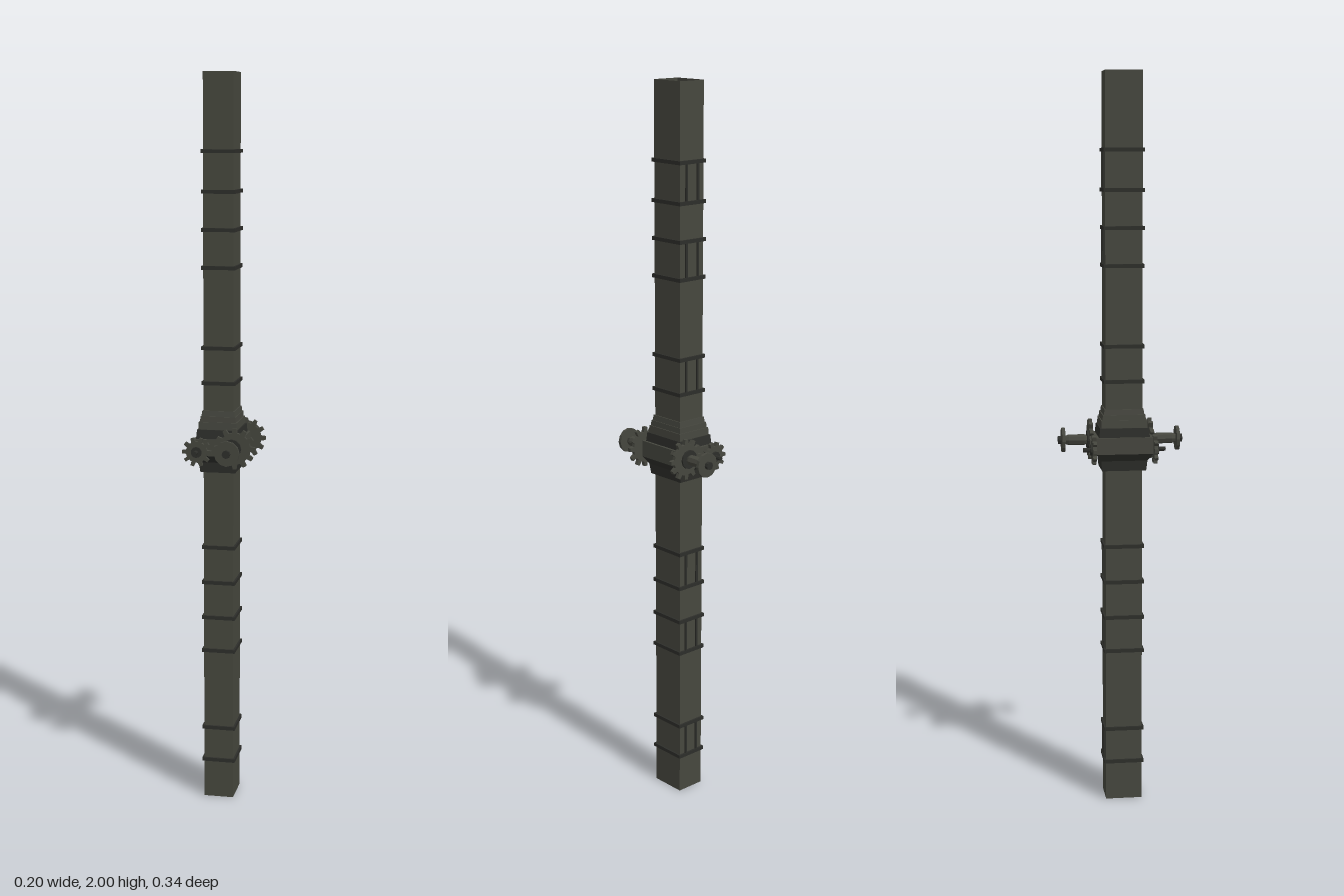
import * as THREE from 'three';

const CX = -0.007;          // centre line of the shaft
const HX = 0.041, HZ = 0.05; // half width and half depth of the shaft

export function createModel() {
  const model = new THREE.Group();
  const paint = (name, color, extra = {}) => {
    const m = new THREE.MeshStandardMaterial({ color, flatShading: true, ...extra });
    m.name = name;
    return m;
  };
  const iron = paint('grey iron', 0x45463e);
  const shaftIron = paint('shaft iron', 0x46473e, { side: THREE.DoubleSide });
  const dark = paint('dark iron', 0x2d2e2a);

  const add = (name, geometry, material, x = 0, y = 0, z = 0, parent = model) => {
    const mesh = new THREE.Mesh(geometry, material);
    mesh.name = name;
    mesh.position.set(x, y, z);
    parent.add(mesh);
    return mesh;
  };

  // Block whose lower and upper rectangles differ in size
  const taperedBlock = (y0, x0, z0, y1, x1, z1) => {
    const g = new THREE.BoxGeometry(2, 2, 2);
    const p = g.attributes.position;
    for (let i = 0; i < p.count; i++) {
      const top = p.getY(i) > 0;
      p.setXYZ(i, p.getX(i) * (top ? x1 : x0), top ? y1 : y0, p.getZ(i) * (top ? z1 : z0));
    }
    g.computeVertexNormals();
    return g;
  };

  // Hollow square tubes above and below the gearbox
  const tube = (name, y0, y1) => {
    const g = new THREE.CylinderGeometry(Math.SQRT2, Math.SQRT2, y1 - y0, 4, 1, true);
    g.rotateY(Math.PI / 4);
    g.scale(HX, 1, HZ);
    add(name, g, shaftIron, CX, (y0 + y1) / 2, 0);
  };
  tube('lowerShaft', 0, 0.95);
  tube('upperShaft', 1.09, 2);

  // Thin hollow band around the shaft
  const bandShape = new THREE.Shape();
  const rect = (path, a, b) =>
    path.moveTo(-a, -b).lineTo(a, -b).lineTo(a, b).lineTo(-a, b).closePath();
  rect(bandShape, HX + 0.005, HZ + 0.005);
  const bandHole = new THREE.Path();
  rect(bandHole, HX - 0.0005, HZ - 0.0005);
  bandShape.holes.push(bandHole);
  const bandGeo = new THREE.ExtrudeGeometry(bandShape, { depth: 0.01, bevelEnabled: false });
  bandGeo.rotateX(-Math.PI / 2);
  bandGeo.translate(0, -0.005, 0);

  // Bands in pairs, joined on the back by two upright rails
  const pairs = [[0.11, 0.205], [0.43, 0.525], [0.625, 0.725],
    [1.18, 1.275], [1.49, 1.59], [1.69, 1.795]];
  for (const [a, b] of pairs) {
    for (const y of [a, b]) add('band', bandGeo, dark, CX, y, 0);
    for (const s of [-1, 1]) {
      add('backRail', new THREE.BoxGeometry(0.006, b - a, 0.006), dark,
        CX + s * 0.02, (a + b) / 2, -HZ - 0.001);
    }
  }

  // Stepped gearbox casing: [y0, hx0, hz0, y1, hx1, hz1]
  const casing = [
    [0.937, 0.048, 0.06, 0.965, 0.052, 0.063, dark],
    [0.965, 0.052, 0.063, 0.985, 0.065, 0.077, dark],
    [0.985, 0.065, 0.077, 1.03, 0.065, 0.077, iron],
    [1.03, 0.058, 0.069, 1.055, 0.056, 0.066, dark],
    [1.055, 0.053, 0.063, 1.075, 0.052, 0.062, iron],
    [1.075, 0.049, 0.059, 1.09, 0.048, 0.058, iron],
    [1.09, 0.046, 0.055, 1.105, 0.044, 0.053, iron],
  ];
  for (const c of casing) add('gearboxCasing', taperedBlock(...c.slice(0, 6)), c[6], CX, 0, 0);

  // Toothed wheel lying in the xy plane
  const gear = (teeth, root, tip, depth) => {
    const shape = new THREE.Shape();
    const step = (Math.PI * 2) / teeth;
    for (let i = 0; i < teeth; i++) {
      [[-0.3, root], [-0.17, tip], [0.17, tip], [0.3, root]].forEach(([k, r], j) => {
        const a = (i + k) * step;
        const x = Math.cos(a) * r, y = Math.sin(a) * r;
        if (i + j === 0) shape.moveTo(x, y); else shape.lineTo(x, y);
      });
    }
    shape.closePath();
    const g = new THREE.ExtrudeGeometry(shape, { depth, bevelEnabled: false });
    g.translate(0, 0, -depth / 2);
    return g;
  };
  const rod = (r0, r1, length, sides = 8) =>
    new THREE.CylinderGeometry(r1, r0, length, sides).rotateX(Math.PI / 2);

  // Matching gear trains on the front and back
  for (const s of [1, -1]) {
    const train = new THREE.Group();
    train.name = s > 0 ? 'frontGearTrain' : 'backGearTrain';
    const put = (name, g, mat, x, y, z) => add(name, g, mat, x, y, s * z, train);
    put('largeGear', gear(12, 0.043, 0.056, 0.01), iron, 0.044, 1.01, 0.083);
    put('smallGear', gear(10, 0.029, 0.04, 0.01), iron, -0.06, 0.997, 0.083);
    put('gearPin', rod(0.006, 0.006, 0.036), dark, -0.06, 0.997, 0.094);
    put('gearPinCollar', rod(0.015, 0.015, 0.006, 10), dark, -0.06, 0.997, 0.09);
    put('axleFlange', rod(0.026, 0.026, 0.006, 12), dark, 0.037, 1.01, 0.09);
    // Axle thickens in the middle
    const axle = new THREE.LatheGeometry([[0.011, 0.09], [0.015, 0.1], [0.015, 0.143], [0.011, 0.154]]
      .map(([r, h]) => new THREE.Vector2(r, h)), 8).rotateX(Math.PI / 2);
    if (s < 0) axle.rotateY(Math.PI);
    put('axle', axle, iron, 0.037, 1.01, 0);
    put('handWheel', rod(0.034, 0.034, 0.009, 12), iron, 0.037, 1.01, 0.158);
    put('wheelHub', rod(0.011, 0.011, 0.022), dark, 0.037, 1.01, 0.161);
    model.add(train);
  }
  return model;
}
